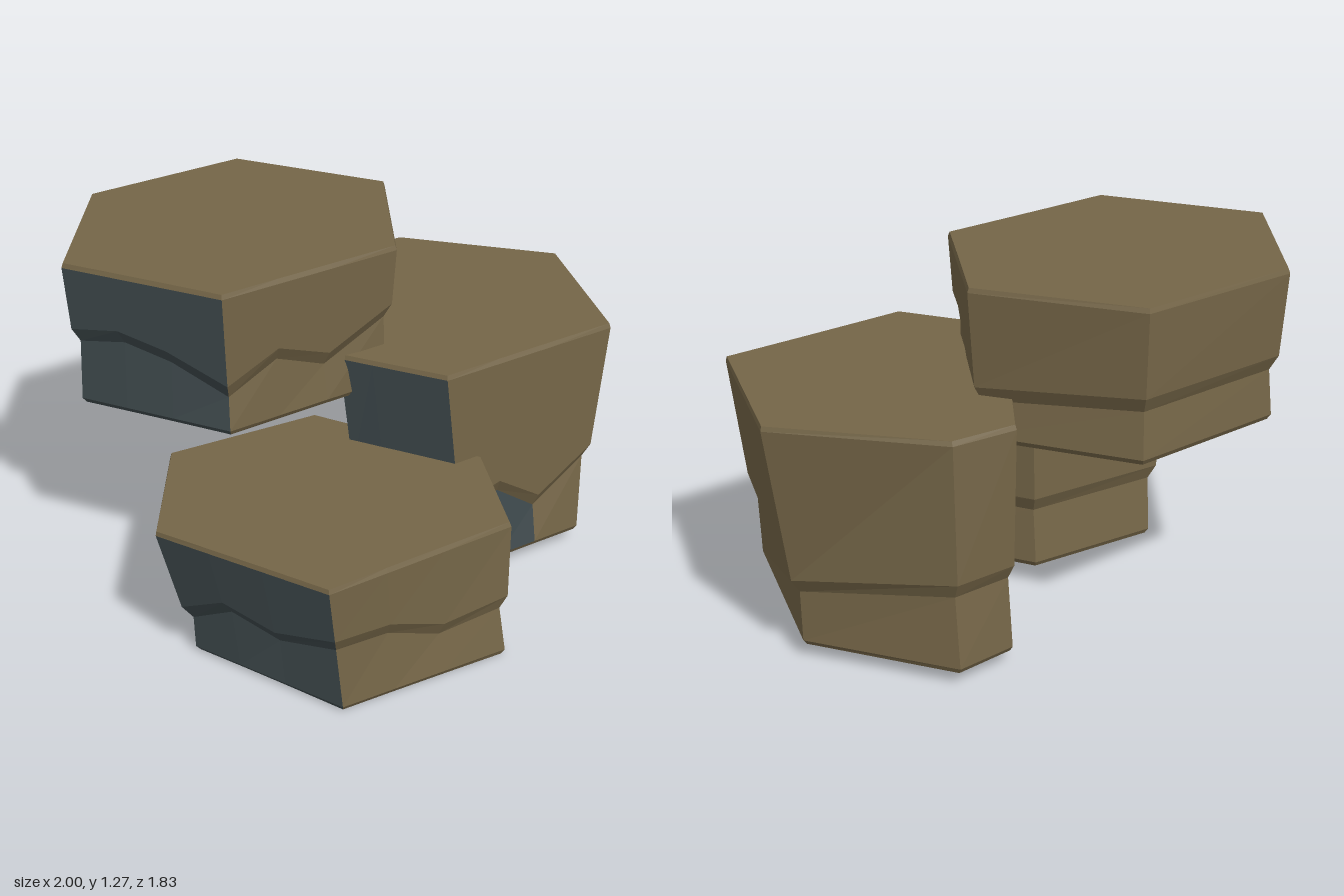
import * as THREE from 'three';

const earth = new THREE.MeshStandardMaterial({ color: 0x746547, flatShading: true });
earth.name = 'earth brown';
const slate = new THREE.MeshStandardMaterial({ color: 0x3f4a4d, flatShading: true });
slate.name = 'slate blue';

const BEVEL = 0.012; // rounded rim at top and bottom
const STEP = 0.027; // depth and half height of the ledge
const SPACING = 0.31; // distance between ledge bends, as a fraction of a side
const mix = (a, b, t) => a.map((v, i) => v + (b[i] - v) * t);

function facesMesh(name, points, material) {
  const geometry = new THREE.BufferGeometry().setFromPoints(points);
  geometry.computeVertexNormals();
  const mesh = new THREE.Mesh(geometry, material);
  mesh.name = name;
  return mesh;
}

// A six-sided rock with a zigzag ledge. Corners are [x, z], counterclockwise from
// above, starting at the left; ledge lists the step heights along each side.
function buildRock({ name, y0, y1, top, bottom, ledge, patch }) {
  const n = top.length;
  const centre = [0, 1].map((k) => top.reduce((s, p) => s + p[k], 0) / n);

  // Six points from the bottom rim to the top rim
  const column = (side, t, y) => {
    const next = (side + 1) % n;
    const hi = mix(top[side], top[next], t);
    const lo = mix(bottom[side], bottom[next], t);
    const at = (h, inset) => {
      const [x, z] = mix(lo, hi, (h - y0) / (y1 - y0));
      const dx = centre[0] - x, dz = centre[1] - z, k = inset / Math.hypot(dx, dz);
      return new THREE.Vector3(x + dx * k, h, z + dz * k);
    };
    return [
      at(y0, BEVEL), at(y0 + BEVEL * 1.6, 0),
      at(y - STEP, STEP), at(y + STEP, 0),
      at(y1 - BEVEL * 1.4, 0), at(y1, BEVEL * 0.6),
    ];
  };

  const columns = ledge.flatMap((heights, side) =>
    heights.map((y, col) => ({ side, col, ring: column(side, col * SPACING, y) })));
  const brown = [], blue = [];
  const midTop = new THREE.Vector3(centre[0], y1, centre[1]);
  const midBottom = new THREE.Vector3(centre[0], y0, centre[1]);

  columns.forEach(({ side, col, ring: a }, i) => {
    const b = columns[(i + 1) % columns.length].ring;
    for (let band = 0; band < 5; band++) {
      // The first side is slate below its rim; a patch sits under the next side's ledge
      const isSlate = (side === 0 && band < 4) || (patch && side === 1 && band === 1 && col < 2);
      (isSlate ? blue : brown).push(a[band], b[band], b[band + 1], a[band], b[band + 1], a[band + 1]);
    }
    brown.push(midTop, a[5], b[5], midBottom, b[0], a[0]);
  });

  const group = new THREE.Group();
  group.name = name;
  group.add(facesMesh(name + 'Body', brown, earth), facesMesh(name + 'SlateFaces', blue, slate));
  return group;
}

export function createModel() {
  const model = new THREE.Group();
  model.name = 'steppingRocks';

  model.add(buildRock({
    name: 'upperRock', y0: 0.72, y1: 1.27, patch: false,
    top: [[-1, -0.24], [-0.57, 0.2], [0.12, 0.05], [0.3, -0.5], [-0.14, -0.92], [-0.75, -0.79]],
    bottom: [[-0.96, -0.24], [-0.55, 0.18], [0.08, 0.04], [0.26, -0.5], [-0.14, -0.91], [-0.72, -0.77]],
    ledge: [[0.99, 1.02, 0.98], [0.89, 0.98, 0.9], [1.02, 1.03, 0.91], [0.89], [0.93], [0.93]],
  }));

  model.add(buildRock({
    name: 'tallRock', y0: 0.05, y1: 0.885, patch: true,
    top: [[-0.1, 0.05], [0.19, 0.34], [0.91, 0.19], [1, -0.43], [0.49, -0.8], [0.25, -0.77]],
    bottom: [[0, 0.03], [0.28, 0.34], [0.79, 0.24], [0.88, -0.43], [0.48, -0.83], [0.26, -0.77]],
    ledge: [[0.38, 0.41], [0.31, 0.36, 0.24], [0.38], [0.28], [0.35], [0.35]],
  }));

  model.add(buildRock({
    name: 'lowRock', y0: 0, y1: 0.525, patch: false,
    top: [[-0.89, 0.37], [-0.47, 0.91], [0.25, 0.76], [0.34, 0.33], [-0.11, -0.18], [-0.69, -0.11]],
    bottom: [[-0.76, 0.37], [-0.41, 0.88], [0.23, 0.79], [0.31, 0.28], [-0.12, -0.19], [-0.63, -0.13]],
    ledge: [[0.17, 0.27, 0.22], [0.28, 0.27, 0.19], [0.21], [0.25], [0.25], [0.25]],
  }));

  return model;
}
